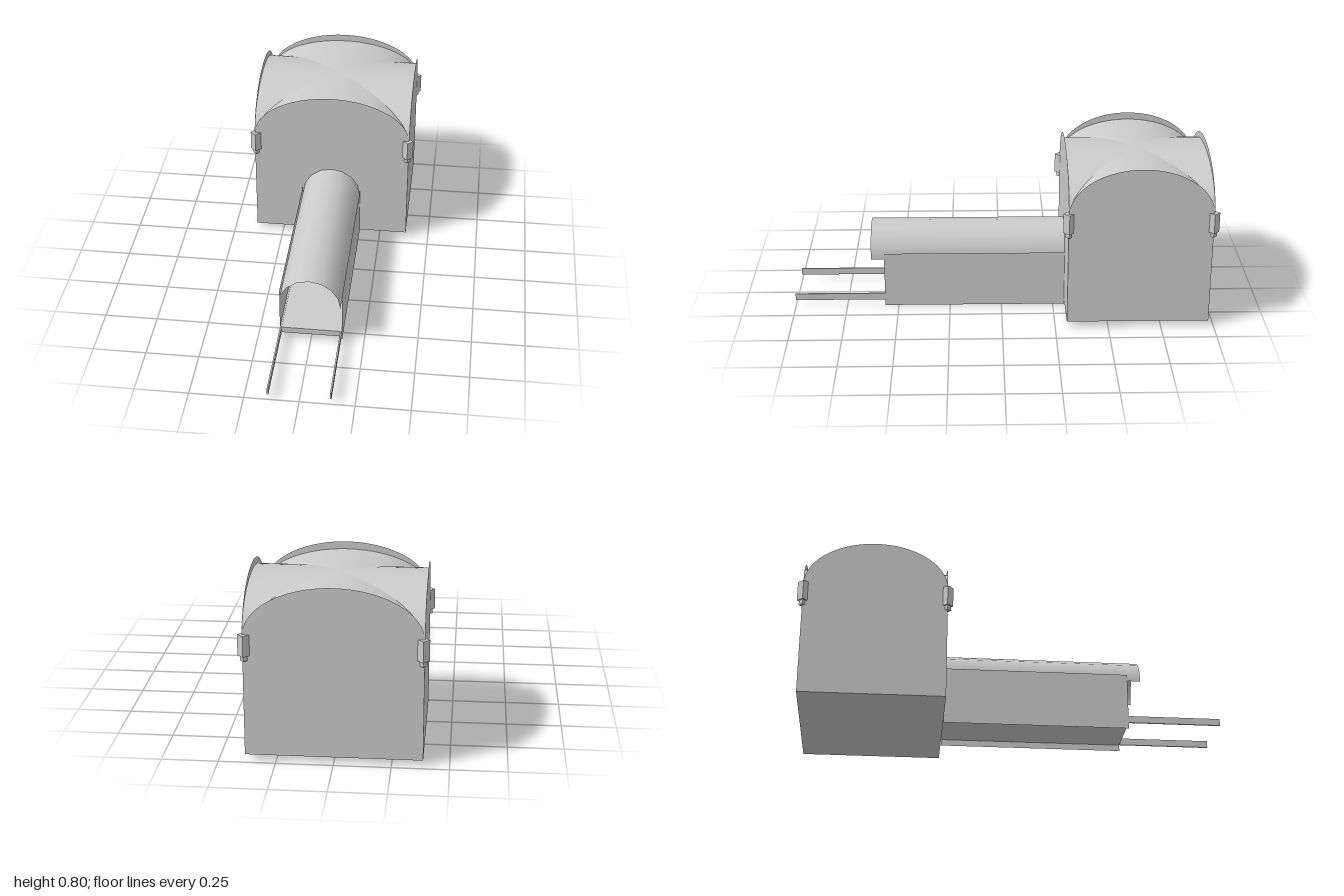
import * as THREE from 'three';
import { ParametricGeometry } from 'three/addons/geometries/ParametricGeometry.js';

const material = new THREE.MeshStandardMaterial({ color: 0xcccccc, side: THREE.DoubleSide });

// Hall: half width, half depth, centre z, base, springing and arch rises
const HX = 0.386, HZ = 0.335, CZ = -0.64;
const BASE = 0.027, SPRING = 0.572, WALL_RISE = 0.225, VAULT_RISE = 0.19;

function add(parent, name, geometry, x = 0, y = 0, z = 0) {
  const mesh = new THREE.Mesh(geometry, material);
  mesh.name = name;
  mesh.position.set(x, y, z);
  parent.add(mesh);
  return mesh;
}

// Thin wall with an elliptical arched top
function archedWall(half) {
  const shape = new THREE.Shape();
  shape.moveTo(-half, BASE);
  shape.lineTo(half, BASE);
  shape.lineTo(half, SPRING);
  shape.absellipse(0, SPRING, half, WALL_RISE, 0, Math.PI, false);
  shape.closePath();
  return new THREE.ShapeGeometry(shape, 32);
}

// One quarter of the cross vault, bounded by the two diagonal valleys
function vaultQuarter(turn) {
  const c = Math.round(Math.cos(turn)), s = Math.round(Math.sin(turn));
  const geometry = new ParametricGeometry((u, v, target) => {
    const angle = (0.5 - u) * Math.PI;
    const across = Math.sin(angle);
    const along = THREE.MathUtils.lerp(Math.abs(across), 1, v);
    target.set(
      HX * (c * across + s * along),
      SPRING + VAULT_RISE * Math.cos(angle),
      HZ * (c * along - s * across)
    );
  }, 32, 10);
  geometry.computeVertexNormals();
  return geometry;
}

function createHall() {
  const hall = new THREE.Group();
  hall.name = 'hall';
  hall.position.z = CZ;

  // Four walls and the vault quarters behind their arches
  ['front', 'left', 'back', 'right'].forEach((side, i) => {
    const turn = i * Math.PI / 2;
    const [half, reach] = i % 2 ? [HZ, HX] : [HX, HZ];
    const wall = add(hall, side + 'Wall', archedWall(half), Math.sin(turn) * reach, 0, Math.cos(turn) * reach);
    wall.rotation.y = turn;
    add(hall, side + 'Vault', vaultQuarter(turn));
  });

  add(hall, 'hallFloor', new THREE.PlaneGeometry(2 * HX, 2 * HZ).rotateX(Math.PI / 2), 0, BASE, 0);

  // Corner brackets, set diagonally
  for (const sx of [-1, 1]) for (const sz of [-1, 1]) {
    const bracket = new THREE.Group();
    bracket.name = 'cornerBracket';
    bracket.position.set(sx * 0.38, 0, sz * 0.333);
    bracket.rotation.y = Math.PI / 4;
    add(bracket, 'bracketBlock', new THREE.BoxGeometry(0.038, 0.095, 0.038), 0, 0.5325, 0);
    add(bracket, 'bracketFoot', new THREE.BoxGeometry(0.024, 0.023, 0.024), 0, 0.4735, 0);
    hall.add(bracket);
  }
  return hall;
}

function createPassage() {
  const passage = new THREE.Group();
  passage.name = 'passage';
  const back = -0.305, front = 0.565, roofFront = 0.628, radius = 0.144;

  // Half-round roof overhanging the mouth
  const roofLength = roofFront - back;
  const roof = new THREE.CylinderGeometry(radius, radius, roofLength, 8, 1, true, -Math.PI / 2, Math.PI);
  add(passage, 'passageRoof', roof.rotateX(-Math.PI / 2), 0, 0.244, (back + roofFront) / 2);

  // Side walls and the long rails along their feet
  const length = front - back, middle = (front + back) / 2;
  for (const side of [-1, 1]) {
    const wall = new THREE.PlaneGeometry(length, 0.275).rotateY(side * Math.PI / 2);
    add(passage, 'passageWall', wall, side * 0.146, 0.1375, middle);
    add(passage, 'rail', new THREE.BoxGeometry(0.007, 0.033, 1 - back), side * 0.1415, 0.0465, (1 + back) / 2);
  }

  // Floor slab between the rails
  add(passage, 'passageFloor', new THREE.BoxGeometry(0.276, 0.03, length), 0, 0.045, middle);
  return passage;
}

export function createModel() {
  const model = new THREE.Group();
  model.name = 'vaultedHallWithPassage';
  model.add(createHall(), createPassage());
  return model;
}
